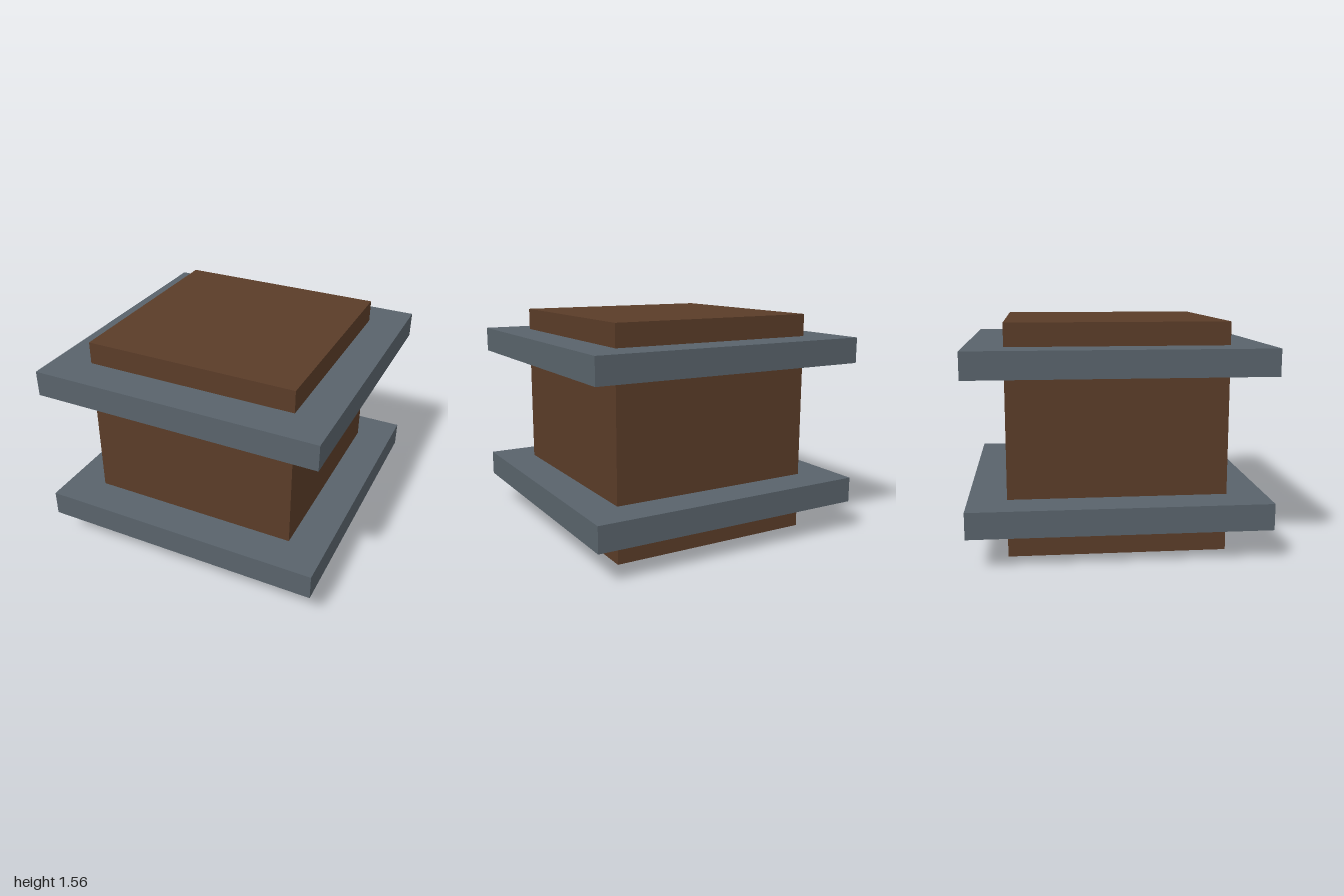
import * as THREE from 'three';

export function createModel() {
  const model = new THREE.Group();
  const wood = new THREE.MeshStandardMaterial({ color: 0x5a3c28 });
  const metal = new THREE.MeshStandardMaterial({ color: 0x59636b });

  // Square slab centred on the y axis, from bottom to top
  function slab(name, width, bottom, top, material) {
    const mesh = new THREE.Mesh(new THREE.BoxGeometry(width, top - bottom, width), material);
    mesh.name = name;
    mesh.position.y = (bottom + top) / 2;
    model.add(mesh);
  }

  // Wooden core
  slab('body', 1.48, 0, 1.56, wood);

  // Bands around the core
  slab('lowerBand', 2, 0.217, 0.395, metal);
  slab('upperBand', 2, 1.227, 1.405, metal);

  return model;
}
